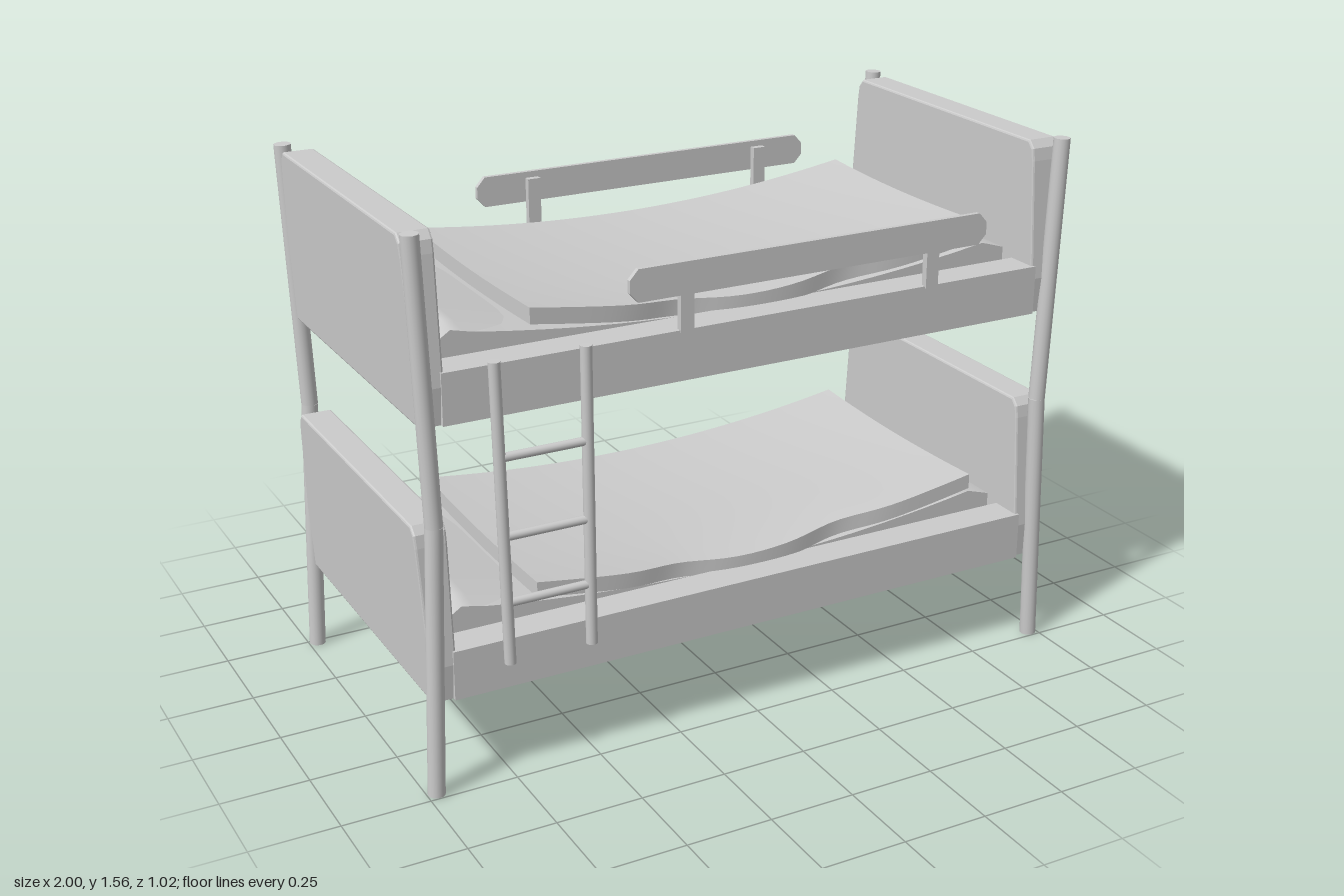
import * as THREE from 'three';

const mat = new THREE.MeshStandardMaterial({ color: 0xcccccc });
const RISE = 0.785; // height of one bunk above the other
const CENTRE_Z = -0.006;

function add(parent, name, geometry, x = 0, y = 0, z = 0) {
  const mesh = new THREE.Mesh(geometry, mat);
  mesh.name = name;
  mesh.position.set(x, y, z);
  parent.add(mesh);
  return mesh;
}

// Round bar between two points
function bar(parent, name, a, b, radius, sides = 16) {
  const from = new THREE.Vector3(...a), to = new THREE.Vector3(...b);
  const dir = to.clone().sub(from);
  const mesh = add(parent, name, new THREE.CylinderGeometry(radius, radius, dir.length(), sides));
  mesh.position.copy(from).add(to).multiplyScalar(0.5);
  mesh.quaternion.setFromUnitVectors(new THREE.Vector3(0, 1, 0), dir.normalize());
}

function polygon(points) {
  return new THREE.Shape(points.map(([x, y]) => new THREE.Vector2(x, y)));
}

// Box whose vertices are moved by a rule: (u, v, w in -0.5..0.5) -> position
function softSlab(nx, nz, rule) {
  const g = new THREE.BoxGeometry(1, 1, 1, nx, 1, nz);
  const p = g.attributes.position;
  for (let i = 0; i < p.count; i++) p.setXYZ(i, ...rule(p.getX(i), p.getY(i), p.getZ(i)));
  g.computeVertexNormals();
  return g;
}

// Tapered end board, slightly thicker towards the top
function endBoard() {
  const half = [[0.47, 0.267], [0.479, 0.37], [0.453, 0.71], [0.447, 0.745], [0.428, 0.767]];
  const mirrored = half.map(([z, y]) => [-z, y]).reverse();
  const bevel = 0.006;
  const g = new THREE.ExtrudeGeometry(polygon([...half, ...mirrored]), {
    depth: 0.08, bevelSize: bevel, bevelOffset: -bevel, bevelThickness: bevel, bevelSegments: 2
  });
  g.rotateY(Math.PI / 2).translate(0.906, 0, 0);
  const p = g.attributes.position;
  for (let i = 0; i < p.count; i++) {
    if (p.getX(i) > 0.945) p.setX(i, p.getX(i) - 0.022 * (0.767 - p.getY(i)) / 0.5);
  }
  g.computeVertexNormals();
  return g;
}

// Base panel with long slots
function slottedBase() {
  const rect = (x, z, w) => [[-x, z - w], [x, z - w], [x, z + w], [-x, z + w]];
  const shape = polygon(rect(0.91, 0, 0.39));
  for (const z of [-0.33, -0.11, 0.11, 0.33]) shape.holes.push(polygon(rect(0.82, z, 0.04)));
  return new THREE.ExtrudeGeometry(shape, { depth: 0.05, bevelEnabled: false })
    .rotateX(Math.PI / 2).translate(0, 0.317, 0);
}

function bunk(name, footX, topX) {
  const g = new THREE.Group();
  g.name = name;

  // Ends with their posts
  for (const side of [1, -1]) {
    const end = new THREE.Group();
    end.name = side > 0 ? 'footEnd' : 'headEnd';
    end.rotation.y = side > 0 ? 0 : Math.PI;
    add(end, 'endBoard', endBoard());
    for (const z of [-0.481, 0.481]) bar(end, 'post', [footX, 0, z], [topX, 0.777, z], 0.024);
    g.add(end);
  }

  // Frame
  for (const s of [1, -1]) add(g, 'sideRail', new THREE.BoxGeometry(1.82, 0.142, 0.1), 0, 0.338, s * 0.433);
  add(g, 'slottedBase', slottedBase());

  // Mattress, sagging in the middle
  add(g, 'mattress', softSlab(24, 8, (u, v, w) => {
    const x = u * 1.75;
    const endDrop = Math.abs(u) > 0.49 ? 0.035 : 0;
    return [x, v > 0 ? 0.4 + 0.1 * x * x - endDrop : 0.322 + 0.07 * x * x, w * 0.74];
  }));

  // Flat pillow rising to the head end
  add(g, 'pillow', softSlab(8, 12, (u, v, w) => {
    const x = -0.735 + u * 0.27;
    const edge = 0.015 * Math.pow(2 * Math.abs(w), 6) + (u < -0.45 ? 0.03 : 0);
    const top = 0.438 + 0.24 * (-0.62 - x) - edge;
    return [x, v > 0 ? top : 0.4, w * 0.74];
  }));

  // Blanket, dished between raised corners, with a wavy drooping front edge
  add(g, 'blanket', softSlab(36, 16, (u, v, w) => {
    const x = 0.075 + u * 1.41;
    const wave = 0.03 * (Math.exp(-(((x + 0.18) / 0.12) ** 2)) + Math.exp(-(((x - 0.33) / 0.12) ** 2)));
    const z = w > 0 ? 2 * w * (0.4 - wave) : 2 * w * 0.385;
    const rim = 0.012 * (2 * w) ** 2;
    const droop = w > 0 ? 0.025 * (2 * w) ** 3 * Math.exp(-((x / 0.4) ** 2)) : 0;
    return [x, 0.434 + 0.11 * x * x + v * 0.045 + rim - droop, z];
  }));
  return g;
}

// Guard rail: bevelled-corner plank on two uprights
function guardRail(side) {
  const g = new THREE.Group();
  g.name = side > 0 ? 'frontGuardRail' : 'backGuardRail';
  const plank = polygon([[-0.395, 1.325], [-0.395, 1.315], [-0.37, 1.288], [0.69, 1.288], [0.715, 1.315],
    [0.715, 1.35], [0.69, 1.378], [-0.37, 1.378], [-0.395, 1.35]]);
  const geo = new THREE.ExtrudeGeometry(plank, { depth: 0.014, bevelEnabled: false });
  add(g, 'guardPlank', geo, 0, 0, side * 0.493 - 0.007);
  for (const x of [-0.22, 0.55]) add(g, 'guardUpright', new THREE.BoxGeometry(0.04, 0.18, 0.02), x, 1.27, side * 0.476);
  return g;
}

function ladder() {
  const g = new THREE.Group();
  g.name = 'ladder';
  const z = 0.5;
  bar(g, 'ladderRail', [-0.757, 0.348, z], [-0.775, 1.2, z], 0.016);
  bar(g, 'ladderRail', [-0.518, 0.348, z], [-0.521, 1.2, z], 0.016);
  for (const y of [0.525, 0.715, 0.937]) bar(g, 'rung', [-0.765, y, z], [-0.52, y, z], 0.012);
  return g;
}

export function createModel() {
  const model = new THREE.Group();
  model.name = 'bunkBed';
  const bed = new THREE.Group();
  bed.name = 'bed';
  bed.position.z = CENTRE_Z;
  const upper = bunk('upperBunk', 0.947, 0.974);
  upper.position.y = RISE - 0.008;
  bed.add(bunk('lowerBunk', 0.974, 0.947), upper, guardRail(1), guardRail(-1), ladder());
  model.add(bed);
  return model;
}
